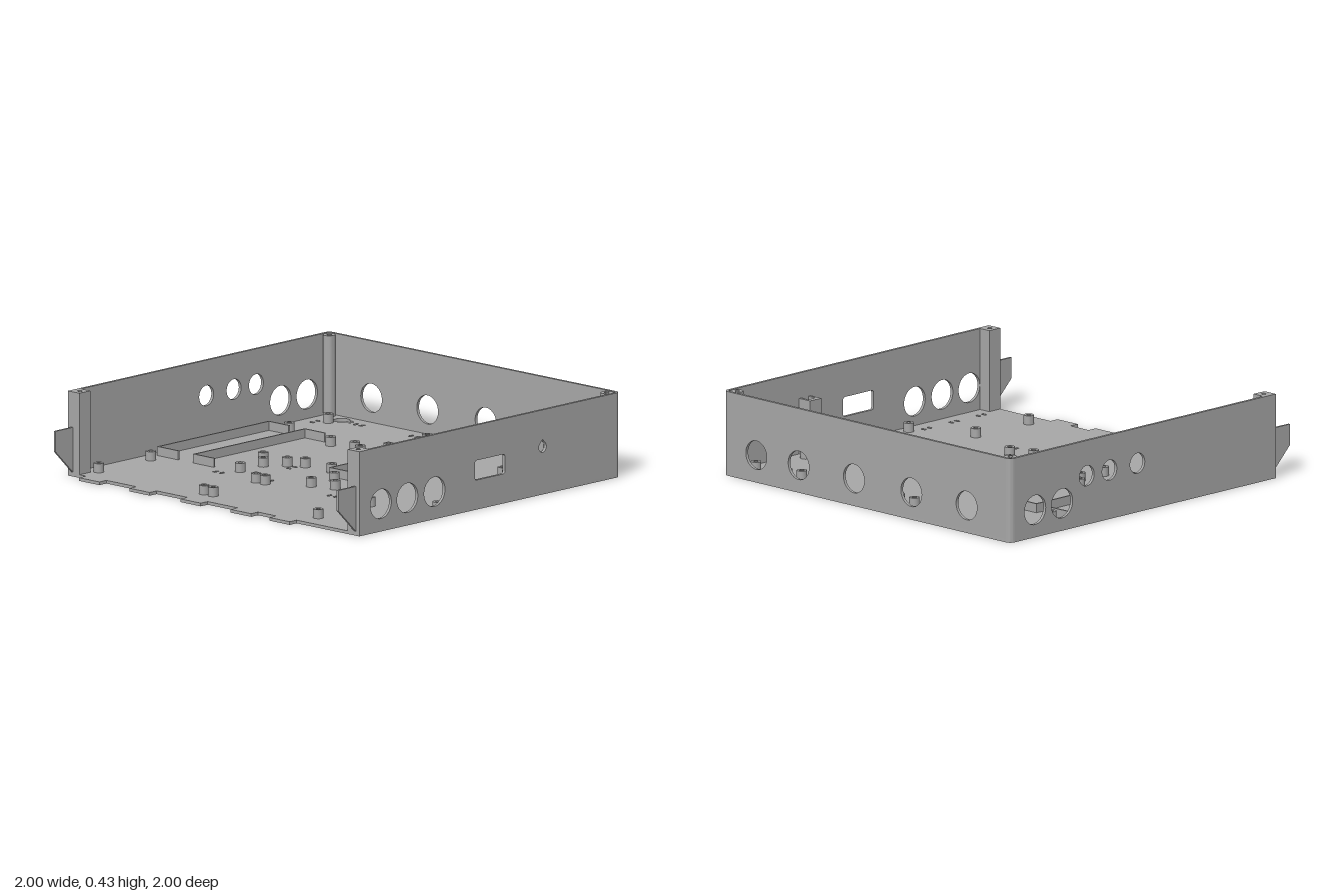
import * as THREE from 'three';
import { toCreasedNormals } from 'three/addons/utils/BufferGeometryUtils.js';

const T = 0.016;   // sheet thickness
const H = 0.43;    // wall height
const R = 0.03;    // outer corner radius
const LEFT = -0.875;

const grey = new THREE.MeshStandardMaterial({ color: 0xa6a6a6 });
grey.name = 'grey plastic';

const poly = (points, Kind = THREE.Shape) => new Kind(points.map(([x, y]) => new THREE.Vector2(x, y)));
const rect = (x0, y0, x1, y1, Kind = THREE.Shape) => poly([[x0, y0], [x1, y0], [x1, y1], [x0, y1]], Kind);
const circle = (x, y, r, Kind = THREE.Path) => new Kind().absarc(x, y, r, 0, Math.PI * 2, false);

function extrude(shape, depth, segments = 12) {
  return new THREE.ExtrudeGeometry(shape, { depth, bevelEnabled: false, curveSegments: segments });
}

export function createModel() {
  const group = new THREE.Group();
  group.name = 'enclosure';

  const add = (name, geometry) => {
    const mesh = new THREE.Mesh(toCreasedNormals(geometry, 0.6), grey);
    mesh.name = name;
    group.add(mesh);
    return mesh;
  };
  // Plan shape (x, z) raised from y0 to y1
  const raise = (name, shape, y0, y1, segments) =>
    add(name, extrude(shape, y1 - y0, segments).rotateX(Math.PI / 2).translate(0, y1, 0));

  // Floor outline with joint tabs along the open left edge
  const floor = new THREE.Shape();
  floor.moveTo(LEFT, -1);
  floor.lineTo(1 - R, -1);
  floor.absarc(1 - R, -1 + R, R, -Math.PI / 2, 0, false);
  floor.absarc(1 - R, 1 - R, R, 0, Math.PI / 2, false);
  floor.lineTo(LEFT, 1);
  for (const z of [0.5, 0.235, -0.11, -0.46, -0.805]) {
    floor.lineTo(LEFT, z + 0.07);
    floor.lineTo(-0.925, z + 0.07);
    floor.lineTo(-0.925, z - 0.07);
    floor.lineTo(LEFT, z - 0.07);
  }
  // Cable tie slots, in pairs: side by side in x, or one behind the other in z
  const slot = (x, z, w, d) => floor.holes.push(rect(x - w, z - d, x + w, z + d, THREE.Path));
  for (const [x, z] of [[0.61, -0.91], [0.805, -0.91], [-0.03, -0.27], [-0.72, 0.9], [-0.53, 0.9], [-0.335, 0.9]]) {
    for (const s of [-0.021, 0.021]) slot(x + s, z, 0.008, 0.014);
  }
  for (const [x, z] of [[0.9, -0.7], [0.9, -0.32], [0.9, 0.08], [0.9, 0.655],
    [-0.355, -0.46], [-0.315, -0.16], [-0.355, 0.32]]) {
    for (const s of [-0.021, 0.021]) slot(x, z + s, 0.016, 0.008);
  }
  slot(0.9, 0.405, 0.016, 0.008);
  slot(0.9, 0.436, 0.012, 0.006);
  // Keyholes for hanging
  const spread = Math.acos(0.02 / 0.042);
  for (const z of [-0.835, 0.495]) {
    const key = new THREE.Path();
    key.absarc(0.917, z, 0.042, Math.PI - spread, Math.PI * 2 + spread, false);
    key.absarc(0.917, z + 0.056, 0.02, 0, Math.PI, false);
    key.closePath();
    floor.holes.push(key);
  }
  raise('floor', floor, 0, T);

  // Front wall with ports, a rounded window and a teardrop hole
  const front = rect(LEFT, T, 1 - R, H);
  for (const x of [-0.72, -0.53, -0.335]) front.holes.push(circle(x, 0.14, 0.075));
  const win = new THREE.Path();
  const [wx0, wy0, wx1, wy1, wr] = [-0.045, 0.15, 0.17, 0.25, 0.013];
  win.absarc(wx1 - wr, wy0 + wr, wr, -Math.PI / 2, 0, false);
  win.absarc(wx1 - wr, wy1 - wr, wr, 0, Math.PI / 2, false);
  win.absarc(wx0 + wr, wy1 - wr, wr, Math.PI / 2, Math.PI, false);
  win.absarc(wx0 + wr, wy0 + wr, wr, Math.PI, Math.PI * 1.5, false);
  win.closePath();
  const drop = new THREE.Path();
  drop.absarc(0.44, 0.241, 0.027, Math.PI * 0.75, Math.PI * 2.25, false);
  drop.lineTo(0.44, 0.28);
  drop.closePath();
  front.holes.push(win, drop);
  add('frontWall', extrude(front, T, 20).translate(0, 0, 1 - T));

  // Back wall with two large and three small ports
  const back = rect(LEFT, T, 1 - R, H);
  for (const [x, y, r] of [[0.825, 0.14, 0.075], [0.635, 0.14, 0.075],
    [0.46, 0.25, 0.052], [0.3, 0.25, 0.052], [0.103, 0.25, 0.052]]) back.holes.push(circle(x, y, r));
  add('backWall', extrude(back, T, 20).translate(0, 0, -1));

  // Side wall with five ports
  const side = rect(-1 + R, T, 1 - R, H);
  for (const z of [0.77, 0.475, 0.09, -0.31, -0.695]) side.holes.push(circle(-z, 0.14, 0.073));
  add('sideWall', extrude(side, T, 20).rotateY(Math.PI / 2).translate(1 - T, 0, 0));

  for (const s of [-1, 1]) {
    // Rounded wall corner
    const c = s * (1 - R);
    const corner = new THREE.Shape();
    const [a0, a1] = s > 0 ? [0, Math.PI / 2] : [-Math.PI / 2, 0];
    corner.absarc(1 - R, c, R, a0, a1, false);
    corner.absarc(1 - R, c, R - T, a1, a0, true);
    corner.closePath();
    raise('wallCorner', corner, T, H);

    // Round screw post in the closed corner
    const round = circle(0.95, s * 0.952, 0.031, THREE.Shape);
    round.holes.push(circle(0.95, s * 0.952, 0.012));
    raise('cornerPost', round, T, H - 0.002);

    // Square screw post at the open end
    const z0 = Math.min(s * 0.92, s * (1 - T));
    const z1 = Math.max(s * 0.92, s * (1 - T));
    const square = rect(LEFT, z0, -0.797, z1);
    square.holes.push(circle(-0.835, s * 0.955, 0.012));
    raise('endPost', square, T, H);

    // Locating ear beyond the open end
    const ear = poly([[LEFT + 0.002, 0.02], [LEFT + 0.002, 0.25], [-1, 0.25], [-1, 0.145]]);
    add('locatingEar', extrude(ear, 0.012).translate(0, 0, s * 0.97 - 0.006));
  }

  // Standoffs for circuit boards: each row lists z, then x positions
  const rows = [
    [-0.897, -0.76, -0.387], [-0.85, 0.558, 0.836], [-0.48, -0.017, 0.468],
    [-0.396, -0.27, -0.104], [-0.314, -0.017, 0.468], [-0.235, 0.03, 0.424],
    [-0.175, -0.76, -0.387], [-0.17, 0.558, 0.836], [-0.113, -0.76, -0.387],
    [-0.067, 0.558, 0.836], [-0.053, 0.03, 0.424], [0.091, -0.27, -0.104],
    [0.219, -0.232, 0.36], [0.609, -0.76, -0.387], [0.614, 0.558, 0.836],
    [0.685, 0.517, 0.867], [0.904, 0.517, 0.867], [0.924, -0.232, 0.36],
  ];
  for (const [z, ...xs] of rows) {
    for (const x of xs) {
      const ring = circle(x, z, 0.026, THREE.Shape);
      ring.holes.push(circle(x, z, 0.012));
      raise('standoff', ring, T, 0.062, 8);
    }
  }

  // U-shaped brackets, open toward the front
  const bracket = (name, x0, x1, z0, z1, side, end, top) => raise(name, poly([
    [x0, z0], [x1, z0], [x1, z1], [x1 - side, z1], [x1 - side, z0 + end],
    [x0 + side, z0 + end], [x0 + side, z1], [x0, z1],
  ]), T, top);
  bracket('rearBracket', -0.293, 0.51, -0.945, -0.8, 0.009, 0.009, 0.062);
  bracket('middleBracket', -0.293, 0.51, -0.698, -0.555, 0.009, 0.009, 0.062);
  bracket('frontBracket', -0.048, 0.497, 0, 0.138, 0.009, 0.009, 0.062);

  // Hollow post behind the teardrop hole
  bracket('buttonPost', 0.4, 0.48, 0.908, 1 - T, 0.016, 0.027, 0.3);

  return group;
}
